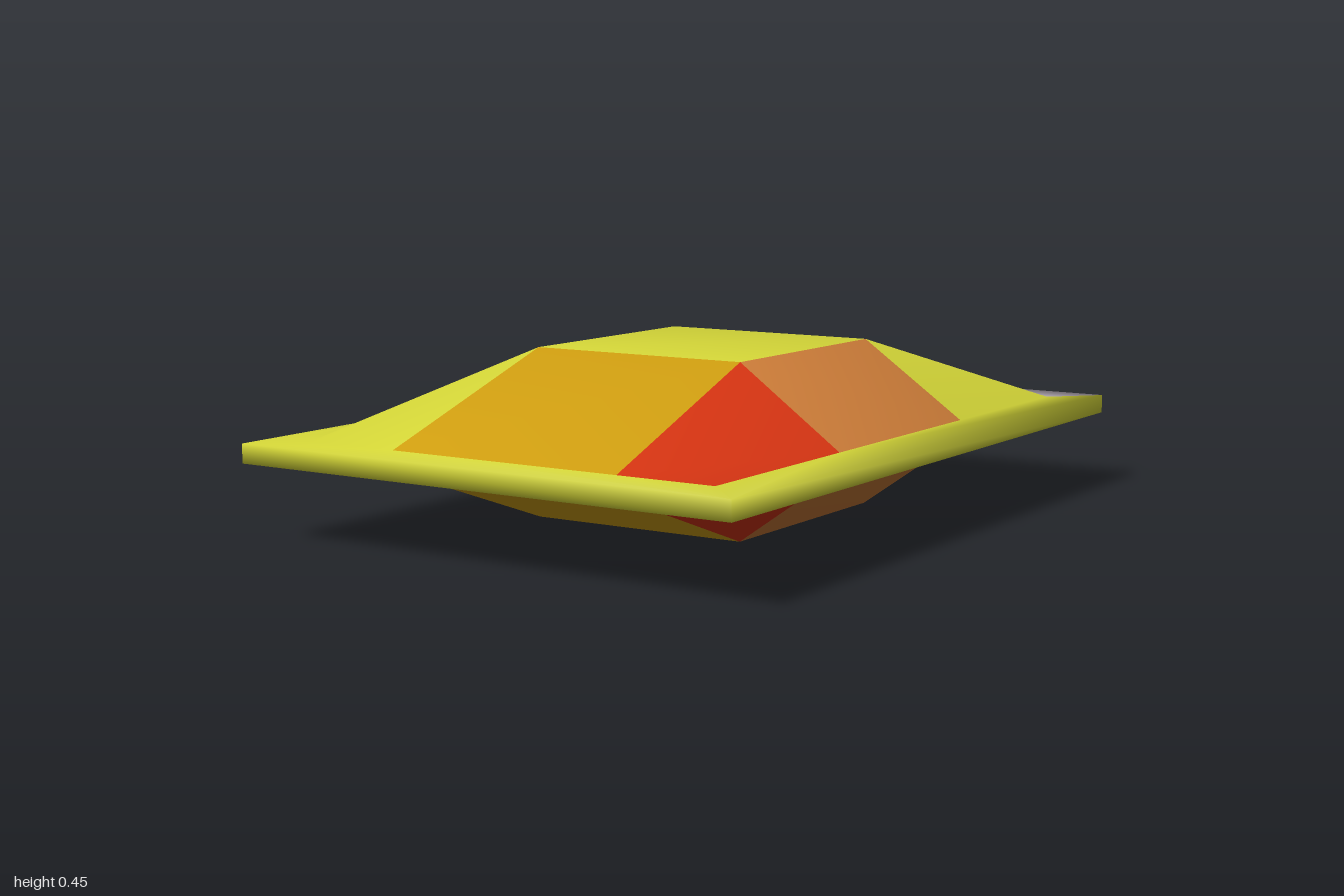
import * as THREE from 'three';

const mat = (name, color) => {
  const m = new THREE.MeshStandardMaterial({ color });
  m.name = name;
  return m;
};

export function createModel() {
  const group = new THREE.Group();
  group.name = 'cushionPanel';

  const M = {
    yellow: mat('yellow', 0xd6d838),
    cyan: mat('cyan', 0x10dfe0),
    mint: mat('mint green', 0x7edc82),
    green: mat('green', 0x6cd46c),
    copper: mat('copper', 0xcc7c38),
    orange: mat('orange', 0xd2a010),
    red: mat('red', 0xd63412),
    grey: mat('grey', 0xbfb5c0),
  };

  // One shell of shared points: a 4 x 4 grid plus four outer corners, above and below
  const pos = [];
  const sign = [-1, -1, 1, 1];
  const addLayer = (edgeY, midY) => {
    for (let r = 0; r < 4; r++) {
      for (let c = 0; c < 4; c++) {
        const endRow = r % 3 === 0, endCol = c % 3 === 0;
        const x = endCol ? 0.595 : endRow ? 0.33 : 0.31;
        const z = endRow ? 0.88 : endCol ? 0.325 : 0.32;
        pos.push(sign[c] * x, endRow || endCol ? edgeY : midY, sign[r] * z);
      }
    }
    for (const [x, z] of [[-1, -1], [1, -1], [1, 1], [-1, 1]]) pos.push(x * 0.713, edgeY, z);
  };
  const B = 20; // offset of the lower layer
  addLayer(0.25, 0.45);
  addLayer(0.2, 0);

  const parts = [];
  const flip = (t) => {
    const out = [];
    for (let i = 0; i < t.length; i += 3) out.push(t[i] + B, t[i + 2] + B, t[i + 1] + B);
    return out;
  };

  // Raised coloured panels, back row to front row
  const layout = [
    [['backRightPanel', M.cyan], ['backPanel', M.mint], ['backLeftPanel', M.yellow]],
    [['rightPanel', M.green], ['centrePanel', M.yellow], ['leftPanel', M.copper]],
    [['frontRightPanel', M.yellow], ['frontPanel', M.orange], ['frontLeftPanel', M.red]],
  ];
  layout.forEach((row, r) => row.forEach(([name, material], c) => {
    const a = r * 4 + c, d = a + 1, b = a + 4, e = a + 5;
    parts.push([name + 'Top', material, [a, b, d, b, e, d]]);
    parts.push([name + 'Bottom', material, flip([a, b, e, a, e, d])]);
  }));

  // Mitred rim: top, underside and outer wall of each side
  const rim = [
    ['rimBack', M.grey, 16, 17, [0, 1, 2, 3]],
    ['rimLeft', M.yellow, 17, 18, [3, 7, 11, 15]],
    ['rimFront', M.yellow, 18, 19, [15, 14, 13, 12]],
    ['rimRight', M.yellow, 19, 16, [12, 8, 4, 0]],
  ];
  for (const [name, material, s, e, [i, j, k, l]] of rim) {
    const top = [s, i, j, s, j, k, s, k, e, k, l, e];
    const wall = [s, e, s + B, e, e + B, s + B];
    parts.push([name, material, [...top, ...flip(top), ...wall]]);
  }

  // Smooth normals over the whole shell, leaning outward at the rim corners
  const shell = new THREE.BufferGeometry();
  shell.setAttribute('position', new THREE.Float32BufferAttribute(pos, 3));
  shell.setIndex(parts.flatMap((p) => p[2]));
  shell.computeVertexNormals();
  const normal = shell.attributes.normal;
  const n = new THREE.Vector3();
  for (const i of [16, 17, 18, 19, 36, 37, 38, 39]) {
    n.set(Math.sign(pos[i * 3]), i < B ? 1 : -1, Math.sign(pos[i * 3 + 2])).normalize();
    normal.setXYZ(i, n.x, n.y, n.z);
  }

  for (const [name, material, index] of parts) {
    const g = new THREE.BufferGeometry();
    g.setAttribute('position', shell.attributes.position);
    g.setAttribute('normal', normal);
    g.setIndex(index);
    const mesh = new THREE.Mesh(g, material);
    mesh.name = name;
    group.add(mesh);
  }
  return group;
}
